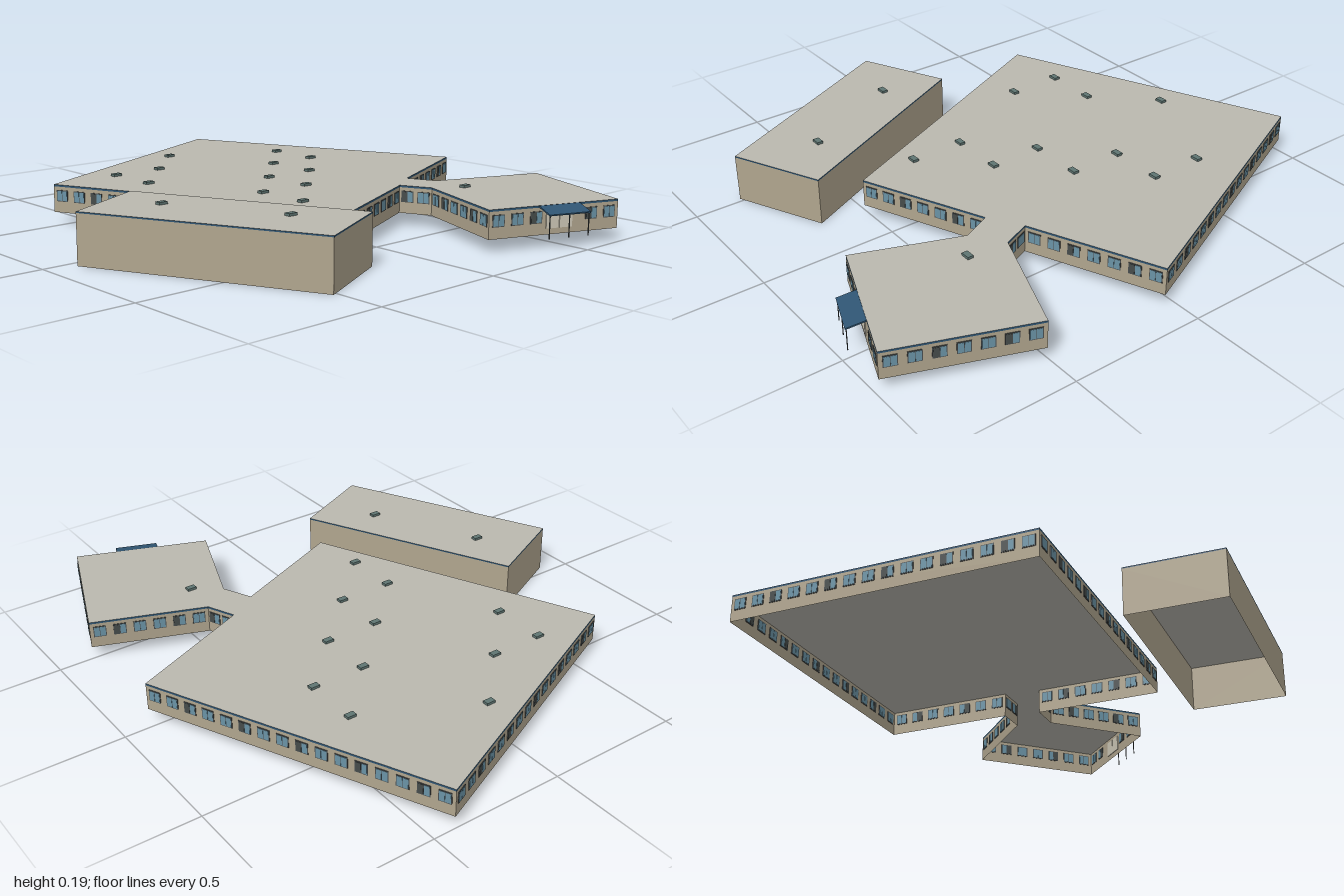
import * as THREE from 'three';

const material = (name, color, side = THREE.FrontSide) => {
  const m = new THREE.MeshStandardMaterial({ color, side });
  m.name = name;
  return m;
};

export function createModel() {
  const wallMat = material('tan wall', 0xb0a58e, THREE.DoubleSide);
  const roofMat = material('grey roof', 0xbab8af);
  const trimMat = material('dark blue trim', 0x2f5573);
  const frameMat = material('window frame', 0x4a4f50);
  const glassMat = material('blue glass', 0x6a93a6);
  const darkGlassMat = material('dark glass', 0x454b4a);
  const doorMat = material('pale door', 0xcfc9b8);
  const skylightMat = material('skylight', 0x5f7572);

  const model = new THREE.Group();
  model.name = 'schoolBuilding';

  const add = (parent, name, geometry, mat, x = 0, y = 0, z = 0) => {
    const mesh = new THREE.Mesh(geometry, mat);
    mesh.name = name;
    mesh.position.set(x, y, z);
    parent.add(mesh);
    return mesh;
  };
  const box = (parent, name, w, h, d, mat, x, y, z) =>
    add(parent, name, new THREE.BoxGeometry(w, h, d), mat, x, y, z);

  // Group in the middle of an edge, with local x running along it
  const edgeGroup = (name, [ax, az], [bx, bz]) => {
    const g = new THREE.Group();
    g.name = name;
    g.position.set((ax + bx) / 2, 0, (az + bz) / 2);
    g.rotation.y = Math.atan2(az - bz, bx - ax);
    model.add(g);
    return g;
  };

  // Open-bottomed shell: a thin wall on each edge, closed by a roof slab
  const shell = (name, points, base, top, slab, onWall) => {
    points.forEach((a, i) => {
      const b = points[(i + 1) % points.length];
      const length = Math.hypot(b[0] - a[0], b[1] - a[1]);
      const g = edgeGroup(name + 'Side', a, b);
      const height = top - slab - base;
      add(g, name + 'Wall', new THREE.PlaneGeometry(length, height), wallMat, 0, base + height / 2, 0);
      if (onWall) onWall(g, length, i);
    });
    const shape = new THREE.Shape(points.map(([x, z]) => new THREE.Vector2(x, -z)));
    const geometry = new THREE.ExtrudeGeometry(shape, { depth: slab, bevelEnabled: false });
    geometry.rotateX(-Math.PI / 2);
    add(model, name + 'Roof', geometry, [roofMat, trimMat], 0, top - slab, 0);
  };

  // Row of framed windows that show on both faces of the wall
  const entryEdge = 6;
  const windows = (g, length, edge) => {
    const count = Math.max(1, Math.round(length / 0.072));
    const step = length / count;
    for (let i = 0; i < count; i++) {
      const x = (i + 0.5) * step - length / 2;
      if (edge === entryEdge && Math.abs(x + 0.018) < 0.085) continue;
      box(g, 'windowFrame', 0.046, 0.042, 0.004, frameMat, x, 0.107, 0);
      box(g, 'windowPane', 0.019, 0.036, 0.006, glassMat, x - 0.0105, 0.107, 0);
      box(g, 'windowPane', 0.019, 0.036, 0.006, i % 3 === 1 ? darkGlassMat : glassMat,
        x + 0.0105, 0.107, 0);
    }
  };

  // Main hall, link and entrance wing under one roof
  shell('main', [
    [-0.62, -0.53], [0.42, -1.0], [0.89, 0.04], [0.425, 0.245], [0.47, 0.35], [0.87, 0.504],
    [0.686, 0.987], [0.214, 0.806], [0.356, 0.43], [0.306, 0.32], [-0.145, 0.52],
  ], 0.045, 0.147, 0.007, windows);

  // Separate windowless block
  shell('annex', [
    [-0.895, 0.039], [-0.573, -0.115], [-0.195, 0.668], [-0.517, 0.822],
  ], 0, 0.179, 0.005);

  // Entrance with sloping canopy on posts
  const entry = edgeGroup('entrance', [0.214, 0.806], [0.686, 0.987]);
  for (const side of [-1, 1]) {
    box(entry, 'door', 0.05, 0.06, 0.006, doorMat, 0.018 + side * 0.026, 0.096, 0);
  }
  const canopy = box(entry, 'canopy', 0.16, 0.005, 0.069, trimMat, 0.018, 0.135, 0.033);
  canopy.rotation.x = 0.26;
  for (const x of [-0.058, 0.018, 0.094]) {
    box(entry, 'canopyPost', 0.003, 0.08, 0.003, frameMat, x, 0.085, 0.062);
  }

  // Skylights: x, z on each roof
  const skylights = (top, spots) => spots.forEach(([x, z]) =>
    box(model, 'skylight', 0.034, 0.01, 0.022, skylightMat, x, top + 0.004, z));
  skylights(0.147, [
    [0.05, -0.72], [-0.355, -0.515], [-0.155, -0.515], [0.455, -0.515], [-0.355, -0.31],
    [0.255, -0.31], [0.455, -0.31], [0.05, -0.105], [0.255, -0.105], [-0.155, 0.095],
    [0.05, 0.095], [-0.155, 0.3], [0.455, 0.5],
  ]);
  skylights(0.179, [[-0.625, 0.13], [-0.425, 0.535]]);

  return model;
}
